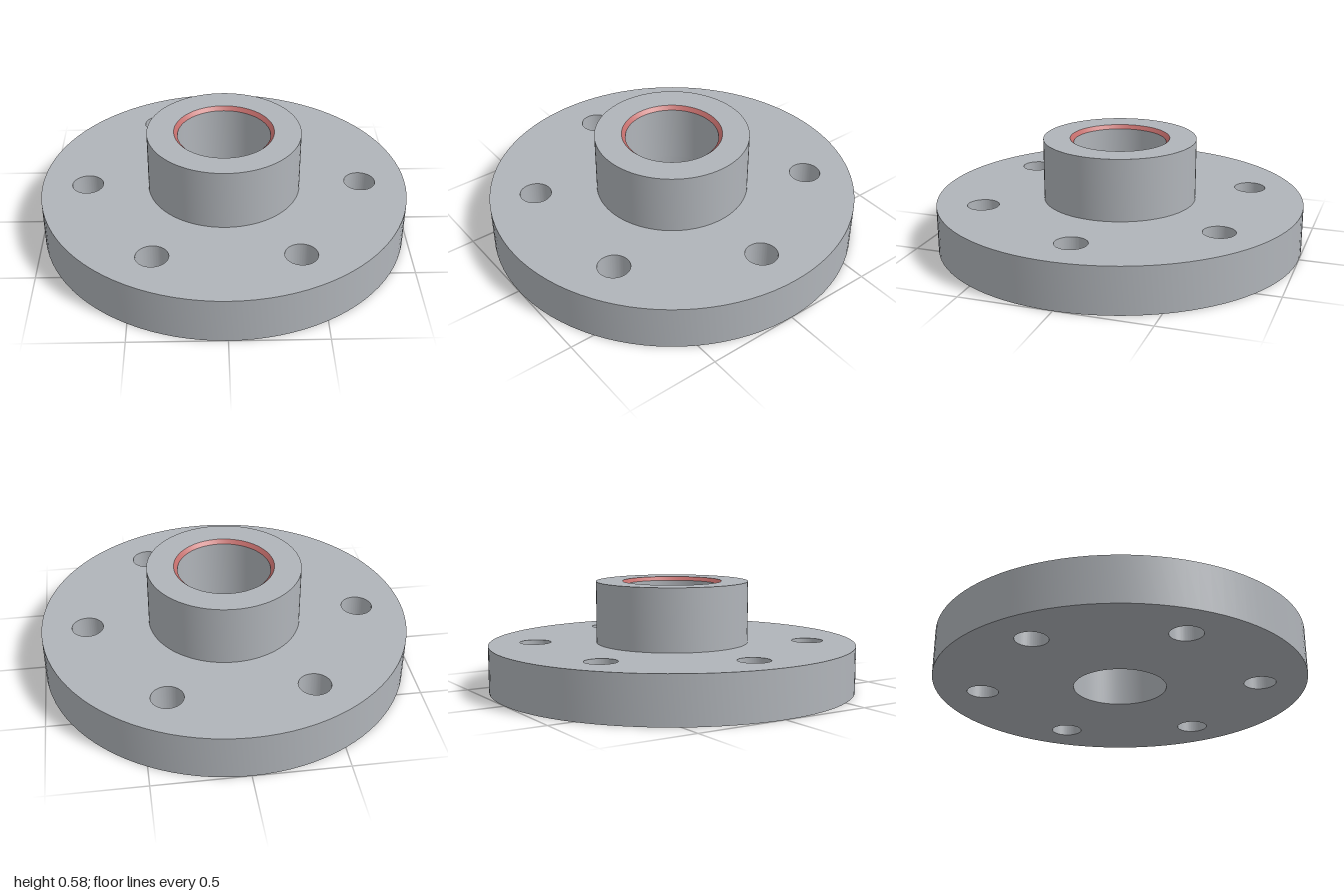
import * as THREE from 'three';
import { toCreasedNormals } from 'three/addons/utils/BufferGeometryUtils.js';

const FLANGE_R = 1, FLANGE_H = 0.25;
const HUB_R = 0.415, HUB_TOP = 0.585;
const BORE_R = 0.25, CHAMFER = 0.02;
const BOLT_R = 0.085, BOLT_CIRCLE = 0.75, BOLTS = 6;
const SEGMENTS = 96;

export function createModel() {
  const steel = new THREE.MeshStandardMaterial({ color: 0xb0b4b9 });
  steel.name = 'steel grey';
  const red = new THREE.MeshStandardMaterial({ color: 0xbf6b69 });
  red.name = 'chamfer red';

  const model = new THREE.Group();
  model.name = 'flangedHub';

  const add = (name, geometry, material) => {
    const mesh = new THREE.Mesh(toCreasedNormals(geometry, Math.PI / 6), material);
    mesh.name = name;
    model.add(mesh);
    return mesh;
  };
  const lathe = (profile) =>
    new THREE.LatheGeometry(profile.map(([r, y]) => new THREE.Vector2(r, y)), SEGMENTS);
  const hole = (x, y, r) => new THREE.Path().absarc(x, y, r, 0, Math.PI * 2, true);

  // Flange disc, pierced by the central bore and a ring of bolt holes
  const disc = new THREE.Shape().absarc(0, 0, FLANGE_R, 0, Math.PI * 2, false);
  disc.holes.push(hole(0, 0, BORE_R));
  for (let i = 0; i < BOLTS; i++) {
    const a = (i / BOLTS) * Math.PI * 2;
    disc.holes.push(hole(BOLT_CIRCLE * Math.cos(a), BOLT_CIRCLE * Math.sin(a), BOLT_R));
  }
  const flange = new THREE.ExtrudeGeometry(disc, {
    depth: FLANGE_H, bevelEnabled: false, curveSegments: SEGMENTS / 2,
  });
  flange.rotateX(-Math.PI / 2);
  add('flange', flange, steel);

  // Raised hub: outer wall and top rim, then the bore wall below the chamfer
  add('hub', lathe([[HUB_R, FLANGE_H], [HUB_R, HUB_TOP], [BORE_R + CHAMFER, HUB_TOP]]), steel);
  add('bore', lathe([[BORE_R, HUB_TOP - CHAMFER], [BORE_R, FLANGE_H]]), steel);

  // Coloured chamfer around the mouth of the bore
  add('boreChamfer', lathe([[BORE_R + CHAMFER, HUB_TOP], [BORE_R, HUB_TOP - CHAMFER]]), red);

  return model;
}
